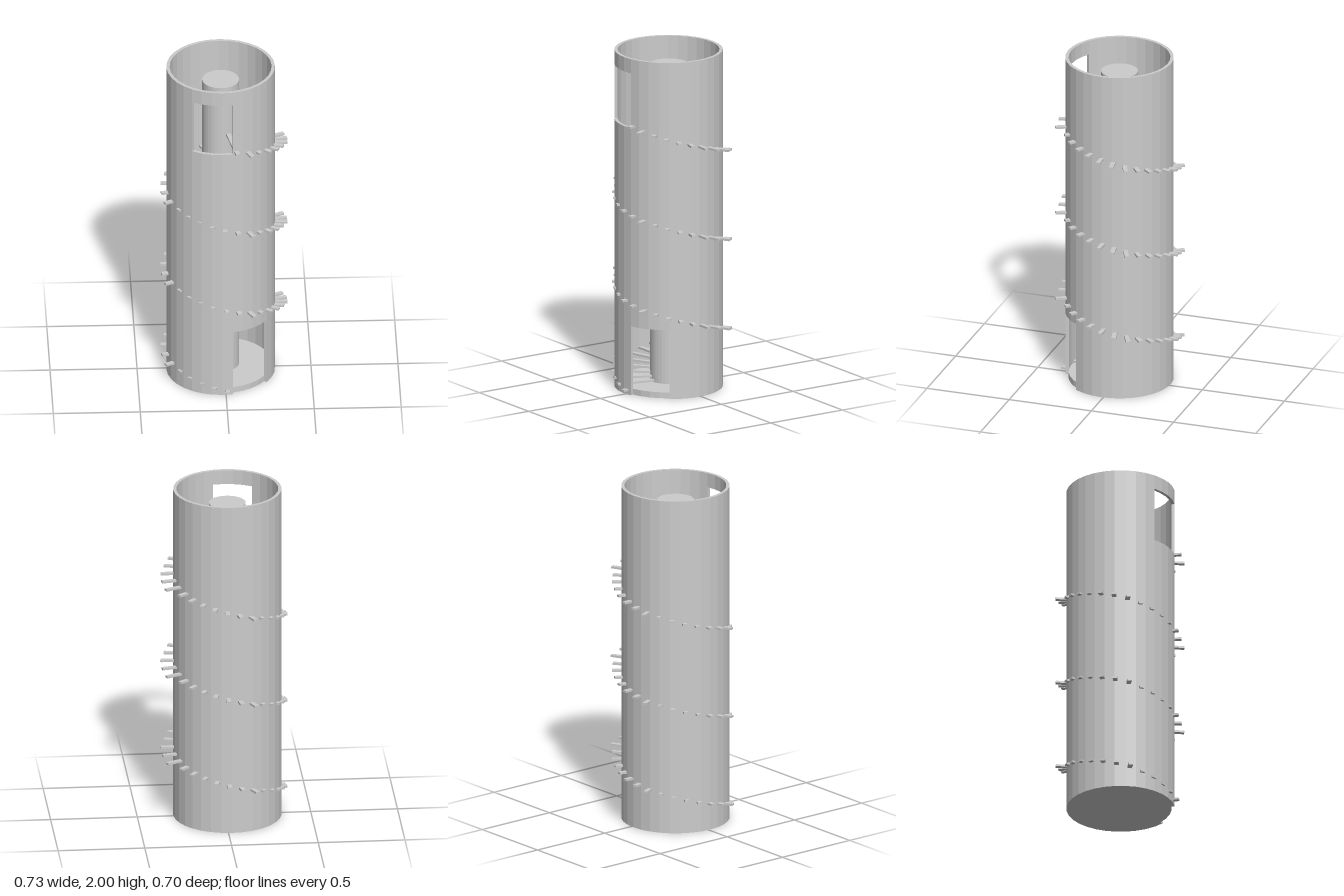
import * as THREE from 'three';

const material = new THREE.MeshStandardMaterial({ color: 0xcccccc, flatShading: true });
const SIDES = 32, OUTER = 0.312, INNER = 0.293;
const SEG = (Math.PI * 2) / SIDES;

// Point on a circle: angle 0 faces the front, growing towards +x
const polar = (r, k) => new THREE.Vector2(r * Math.sin(k * SEG), -r * Math.cos(k * SEG));

function addMesh(parent, geometry, name) {
  const mesh = new THREE.Mesh(geometry, material);
  mesh.name = name;
  parent.add(mesh);
  return mesh;
}

// Band of the round wall covering the facets from k0 to k1, between two heights
function wallBand(k0, k1, y0, y1) {
  const outer = [], inner = [];
  for (let k = k0; k <= k1; k++) {
    outer.push(polar(OUTER, k));
    inner.push(polar(INNER, k));
  }
  let shape;
  if (k1 - k0 === SIDES) {
    shape = new THREE.Shape(outer.slice(0, -1));
    shape.holes.push(new THREE.Path(inner.slice(0, -1)));
  } else {
    shape = new THREE.Shape([...outer, ...inner.reverse()]);
  }
  const geometry = new THREE.ExtrudeGeometry(shape, { depth: y1 - y0, bevelEnabled: false });
  return geometry.rotateX(-Math.PI / 2).translate(0, y0, 0);
}

export function createModel() {
  const model = new THREE.Group();
  model.name = 'spiralStairTower';

  const tower = new THREE.Group();
  tower.name = 'tower';
  tower.position.set(-0.02, 0, 0.01);
  model.add(tower);

  // Wall with a doorway at the foot and a window opening near the top
  addMesh(tower, wallBand(5, SIDES + 1, 0, 0.41), 'doorwayWall');
  addMesh(tower, wallBand(0, SIDES, 0.41, 1.59), 'mainWall');
  addMesh(tower, wallBand(1, SIDES - 3, 1.59, 1.915), 'windowWall');
  addMesh(tower, wallBand(0, SIDES, 1.915, 2), 'topRim');

  // Floor and central column
  addMesh(tower, new THREE.CylinderGeometry(INNER, INNER, 0.035, SIDES), 'floor').position.y = 0.0175;
  addMesh(tower, new THREE.CylinderGeometry(0.106, 0.106, 1.915, SIDES), 'column').position.y = 1.915 / 2;

  // Spiral treads pass through the wall; their reach repeats every half turn
  const reach = [0.352, 0.342, 0.338, 0.344, 0.347, 0.383, 0.372, 0.365, 0.35, 0.345, 0.341, 0.335, 0.373, 0.355];
  const stairs = new THREE.Group();
  stairs.name = 'stairs';
  model.add(stairs);
  const start = 0.06, turn = (Math.PI * 2 * 1.003) / 28;
  for (let i = 0; i < 84; i++) {
    const length = reach[i % reach.length] - start;
    const tread = new THREE.BoxGeometry(0.026, 0.012, length);
    tread.translate(0, 0, start + length / 2);
    const mesh = addMesh(stairs, tread, 'tread');
    mesh.position.y = 0.026 + i * 0.019;
    mesh.rotation.y = -(i * turn - 0.025);
  }
  return model;
}
